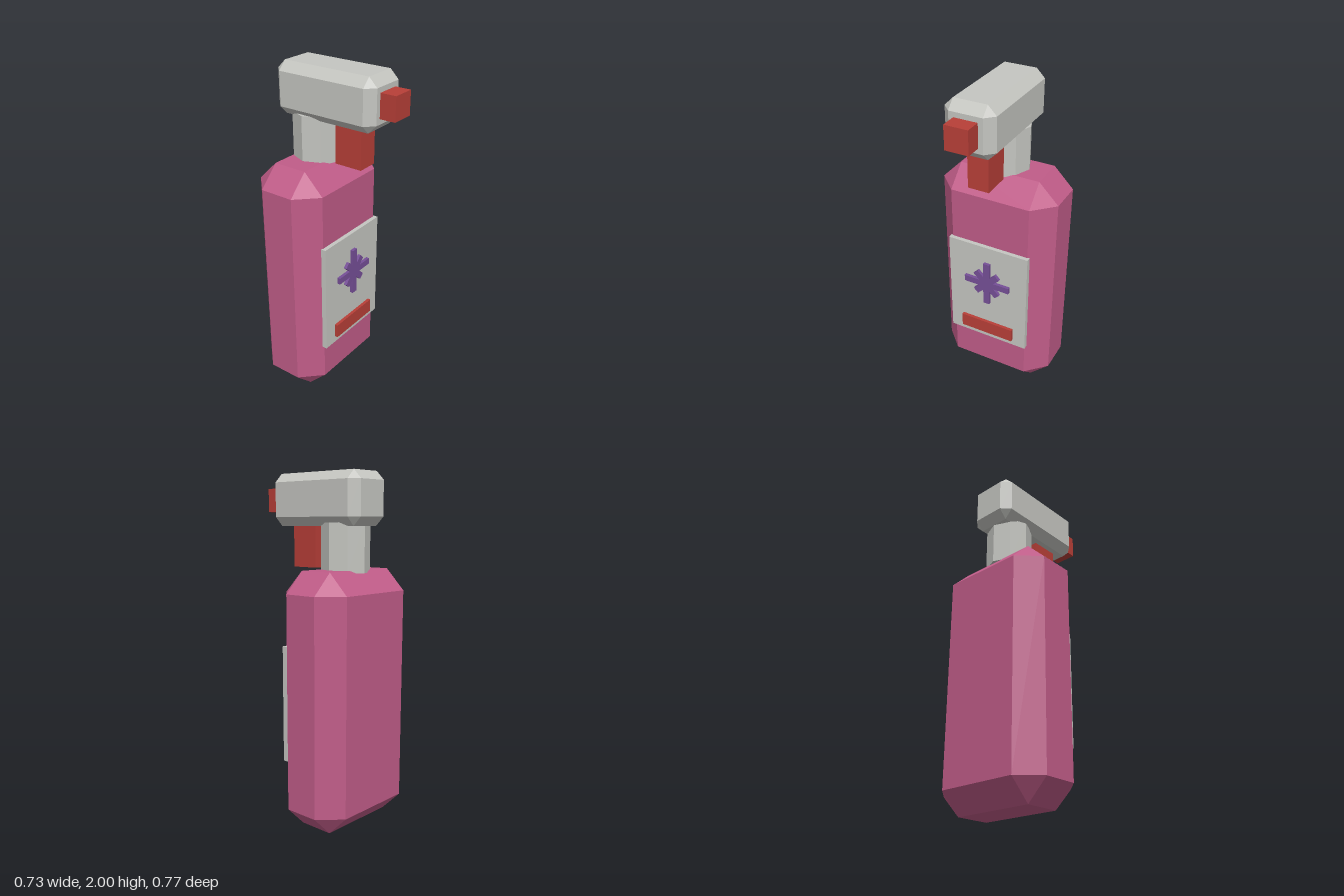
import * as THREE from 'three';
import { ConvexGeometry } from 'three/addons/geometries/ConvexGeometry.js';

const material = (name, color) => {
  const m = new THREE.MeshStandardMaterial({ color });
  m.name = name;
  return m;
};

// Box with flat bevels of size c on every edge
function chamferBox(w, h, d, c) {
  const points = [];
  for (const sx of [-1, 1]) for (const sy of [-1, 1]) for (const sz of [-1, 1]) {
    const x = w / 2, y = h / 2, z = d / 2;
    points.push(
      new THREE.Vector3(sx * x, sy * (y - c), sz * (z - c)),
      new THREE.Vector3(sx * (x - c), sy * y, sz * (z - c)),
      new THREE.Vector3(sx * (x - c), sy * (y - c), sz * z),
    );
  }
  return new ConvexGeometry(points);
}

export function createModel() {
  const model = new THREE.Group();
  model.name = 'sprayBottle';
  const pink = material('pink', 0xc05c88);
  const grey = material('lightGrey', 0xc5c6c1);
  const red = material('red', 0xb83f38);
  const purple = material('purple', 0x764f97);

  const add = (name, geometry, mat, x, y, z, parent = model) => {
    const mesh = new THREE.Mesh(geometry, mat);
    mesh.name = name;
    mesh.position.set(x, y, z);
    parent.add(mesh);
    return mesh;
  };
  const box = (w, h, d) => new THREE.BoxGeometry(w, h, d);

  // Bottle
  add('body', chamferBox(0.73, 1.465, 0.446, 0.12), pink, 0, 0.7325, -0.163);

  // Octagonal neck and spray head
  const neck = new THREE.CylinderGeometry(0.137, 0.137, 0.275, 8).toNonIndexed();
  neck.computeVertexNormals();
  add('neck', neck, grey, 0, 1.5875, -0.163);
  add('sprayHead', chamferBox(0.292, 0.295, 0.645, 0.05), grey, 0, 1.8525, -0.0275);
  add('nozzle', box(0.136, 0.136, 0.12), red, 0, 1.853, 0.328);
  add('trigger', box(0.126, 0.25, 0.17), red, 0, 1.595, 0.095);

  // Front label with a bar and a star
  add('label', box(0.514, 0.682, 0.03), grey, 0, 0.689, 0.07);
  add('labelBar', box(0.346, 0.087, 0.025), red, 0, 0.433, 0.0915);
  const star = new THREE.Group();
  star.name = 'labelStar';
  star.position.set(0, 0.777, 0.0915);
  model.add(star);
  for (let i = 0; i < 4; i++) {
    const length = i % 2 ? 0.2 : 0.294;
    add('starRay', box(length, 0.04, 0.025), purple, 0, 0, 0, star).rotation.z = (i * Math.PI) / 4;
  }

  return model;
}
